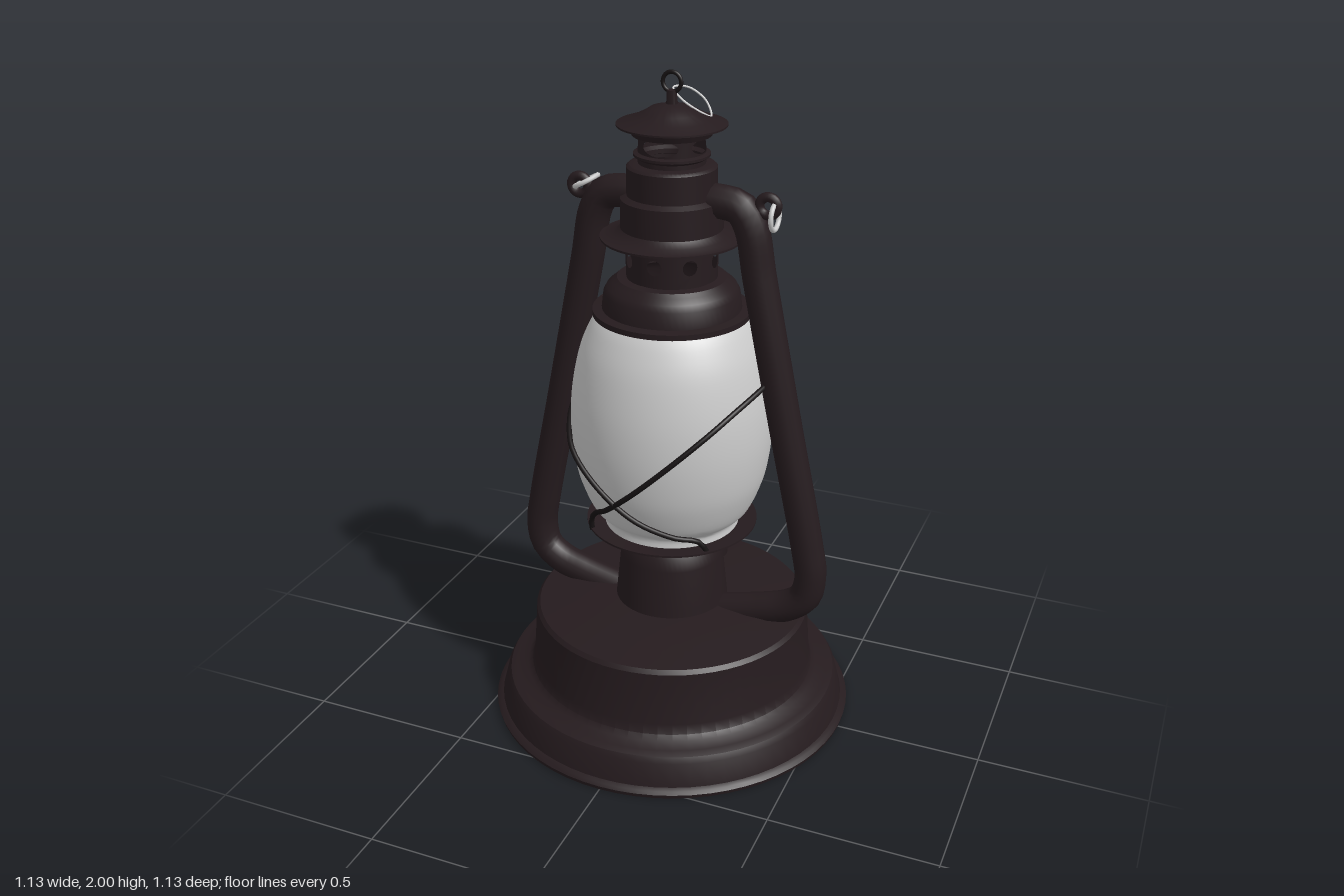
import * as THREE from 'three';
import { toCreasedNormals } from 'three/addons/utils/BufferGeometryUtils.js';

const paint = new THREE.MeshStandardMaterial({ color: 0x251b1e, side: THREE.DoubleSide });
const wire = new THREE.MeshStandardMaterial({ color: 0x161213 });
const grey = new THREE.MeshStandardMaterial({ color: 0xcccccc, side: THREE.DoubleSide });

const v3 = (p) => new THREE.Vector3(...p);

export function createModel() {
  const lantern = new THREE.Group();
  lantern.name = 'lantern';

  const add = (name, geometry, material = paint, parent = lantern) => {
    const mesh = new THREE.Mesh(geometry, material);
    mesh.name = name;
    parent.add(mesh);
    return mesh;
  };

  // turned part from [radius, height] pairs, listed bottom to top
  const turned = (name, pairs, material, smooth = false) => {
    let points = pairs.map(([r, y]) => new THREE.Vector2(r, y));
    if (smooth) points = new THREE.SplineCurve(points).getPoints(40);
    return add(name, toCreasedNormals(new THREE.LatheGeometry(points, 64), 0.6), material);
  };

  const tube = (name, points, radius, material, closed = false, parent = lantern) =>
    add(name, new THREE.TubeGeometry(new THREE.CatmullRomCurve3(points.map(v3), closed), 64, radius, 12, closed), material, parent);

  // cylindrical wall with a ring of oval holes, bent from a flat pierced strip
  const piercedWall = (name, radius, y0, y1, count, holeW, holeH, holeY) => {
    const group = new THREE.Group();
    group.name = name;
    lantern.add(group);
    const half = Math.PI / count, steps = 12;
    const outline = [];
    for (let i = 0; i <= steps; i++) outline.push(new THREE.Vector2(-half + (2 * half * i) / steps, y0));
    for (let i = steps; i >= 0; i--) outline.push(new THREE.Vector2(-half + (2 * half * i) / steps, y1));
    const shape = new THREE.Shape(outline);
    const hole = new THREE.Path();
    hole.absellipse(0, holeY, holeW / radius, holeH, 0, Math.PI * 2, true);
    shape.holes.push(hole);
    const geometry = new THREE.ShapeGeometry(shape, 16);
    const p = geometry.attributes.position;
    const n = geometry.attributes.normal;
    for (let i = 0; i < p.count; i++) {
      const a = p.getX(i);
      p.setXYZ(i, Math.sin(a) * radius, p.getY(i), Math.cos(a) * radius);
      n.setXYZ(i, Math.sin(a), 0, Math.cos(a));
    }
    for (let i = 0; i < count; i++) add(name + 'Panel', geometry, paint, group).rotation.y = 2 * half * i;
  };

  // stepped fuel tank and foot
  turned('tank', [
    [0, 0], [0.56, 0], [0.563, 0.012], [0.555, 0.02], [0.543, 0.025], [0.525, 0.095], [0.515, 0.112],
    [0.495, 0.12], [0.46, 0.127], [0.445, 0.14], [0.437, 0.17], [0.425, 0.335], [0.415, 0.347],
    [0.3, 0.36], [0.17, 0.37], [0, 0.37],
  ]);

  // filler cap, leaning out at the back
  const cap = new THREE.Group();
  cap.name = 'fillerCap';
  cap.position.set(0, 0.385, -0.284);
  cap.rotation.x = -0.14;
  lantern.add(cap);
  add('capNeck', new THREE.CylinderGeometry(0.08, 0.076, 0.09, 32), paint, cap);
  add('capLid', new THREE.CylinderGeometry(0.091, 0.088, 0.012, 32), paint, cap).position.y = 0.04;

  // burner column and glass holder
  turned('burner', [[0.175, 0.355], [0.17, 0.4], [0.158, 0.52], [0.15, 0.56], [0.13, 0.585], [0, 0.59]]);
  turned('glassHolder', [
    [0.11, 0.575], [0.15, 0.578], [0.19, 0.592], [0.22, 0.615], [0.235, 0.626], [0.26, 0.632], [0.26, 0.638],
    [0.215, 0.634], [0.19, 0.63], [0, 0.63],
  ]);

  // glass globe
  turned('globe', [
    [0.205, 0.632], [0.207, 0.66], [0.238, 0.69], [0.266, 0.75], [0.287, 0.82], [0.3, 0.92],
    [0.3, 1.02], [0.289, 1.11], [0.268, 1.2], [0.238, 1.27], [0.215, 1.305],
  ], grey, true);

  // crossing guard wires: half a path, mirrored front to back
  const guards = [
    [[0.302, 1.13, 0], [0.25, 1.085, 0.168], [0.2, 1.037, 0.237], [0.1, 0.943, 0.297], [0, 0.85, 0.305],
      [-0.1, 0.76, 0.262], [-0.17, 0.7, 0.19], [-0.19, 0.67, 0.175], [-0.193, 0.63, 0.165]],
    [[-0.31, 0.985, 0], [-0.25, 0.935, 0.185], [-0.2, 0.895, 0.24], [-0.1, 0.82, 0.28], [0, 0.75, 0.278],
      [0.1, 0.693, 0.23], [0.16, 0.67, 0.185], [0.18, 0.63, 0.165]],
  ];
  for (const half of guards) {
    const mirrored = half.slice(1).reverse().map(([x, y, z]) => [x, y, -z]);
    tube('guardWire', [...mirrored, ...half], 0.008, wire);
  }

  // collar over the globe
  turned('collar', [
    [0.205, 1.302], [0.23, 1.302], [0.23, 1.318], [0.203, 1.322], [0.197, 1.37], [0.187, 1.388],
    [0.17, 1.402], [0.158, 1.413], [0.13, 1.416],
  ]);
  piercedWall('ventRing', 0.132, 1.41, 1.535, 8, 0.022, 0.022, 1.475);

  // drip plate and chimney
  turned('chimney', [
    [0.13, 1.522], [0.18, 1.524], [0.205, 1.53], [0.205, 1.536], [0.165, 1.543], [0.147, 1.56], [0.146, 1.645],
    [0.128, 1.655], [0.128, 1.735], [0.12, 1.742], [0.095, 1.745], [0.095, 1.758], [0.108, 1.766],
    [0.108, 1.773], [0.095, 1.777],
  ]);
  piercedWall('chimneyNeck', 0.095, 1.772, 1.838, 4, 0.055, 0.022, 1.802);

  // hood and finial
  turned('hood', [
    [0.09, 1.82], [0.112, 1.824], [0.12, 1.842], [0.155, 1.85], [0.155, 1.855], [0.115, 1.868],
    [0.08, 1.885], [0.06, 1.898], [0.03, 1.905], [0.016, 1.908], [0.014, 1.945], [0, 1.948],
  ]);
  add('liftRing', new THREE.TorusGeometry(0.027, 0.006, 10, 32), wire).position.y = 1.967;
  tube('latchLoop', [
    [0, 1.95, -0.008], [0.03, 1.946, -0.045], [0.075, 1.91, -0.062], [0.098, 1.872, -0.045],
    [0.08, 1.885, -0.02], [0.03, 1.92, -0.002],
  ], 0.003, grey, true);

  // side air tubes with carrying lugs and rings
  for (const side of [-1, 1]) {
    const arm = new THREE.Group();
    arm.name = side > 0 ? 'leftArm' : 'rightArm';
    lantern.add(arm);
    tube('airTube', [
      [0.08, 1.648, 0], [0.15, 1.648, 0], [0.205, 1.635, 0], [0.237, 1.585, 0], [0.265, 1.44, 0], [0.355, 1.0, 0],
      [0.435, 0.62, 0], [0.45, 0.52, 0], [0.435, 0.445, 0], [0.385, 0.402, 0], [0.3, 0.372, 0], [0.15, 0.335, 0],
    ].map(([x, y, z]) => [x * side, y, z]), 0.049, paint, false, arm);
    const lug = add('lug', new THREE.TorusGeometry(0.026, 0.014, 12, 24), paint, arm);
    lug.position.set(0.285 * side, 1.65, 0);
    const ring = add('ring', new THREE.TorusGeometry(0.037, 0.007, 10, 32), grey, arm);
    if (side > 0) {
      ring.position.set(0.305, 1.622, 0);
      ring.rotation.set(0, Math.PI / 2, 0.15);
    } else {
      ring.position.set(-0.262, 1.665, 0.005);
      ring.rotation.set(Math.PI / 2, 0.5, 0);
    }
  }

  return lantern;
}
